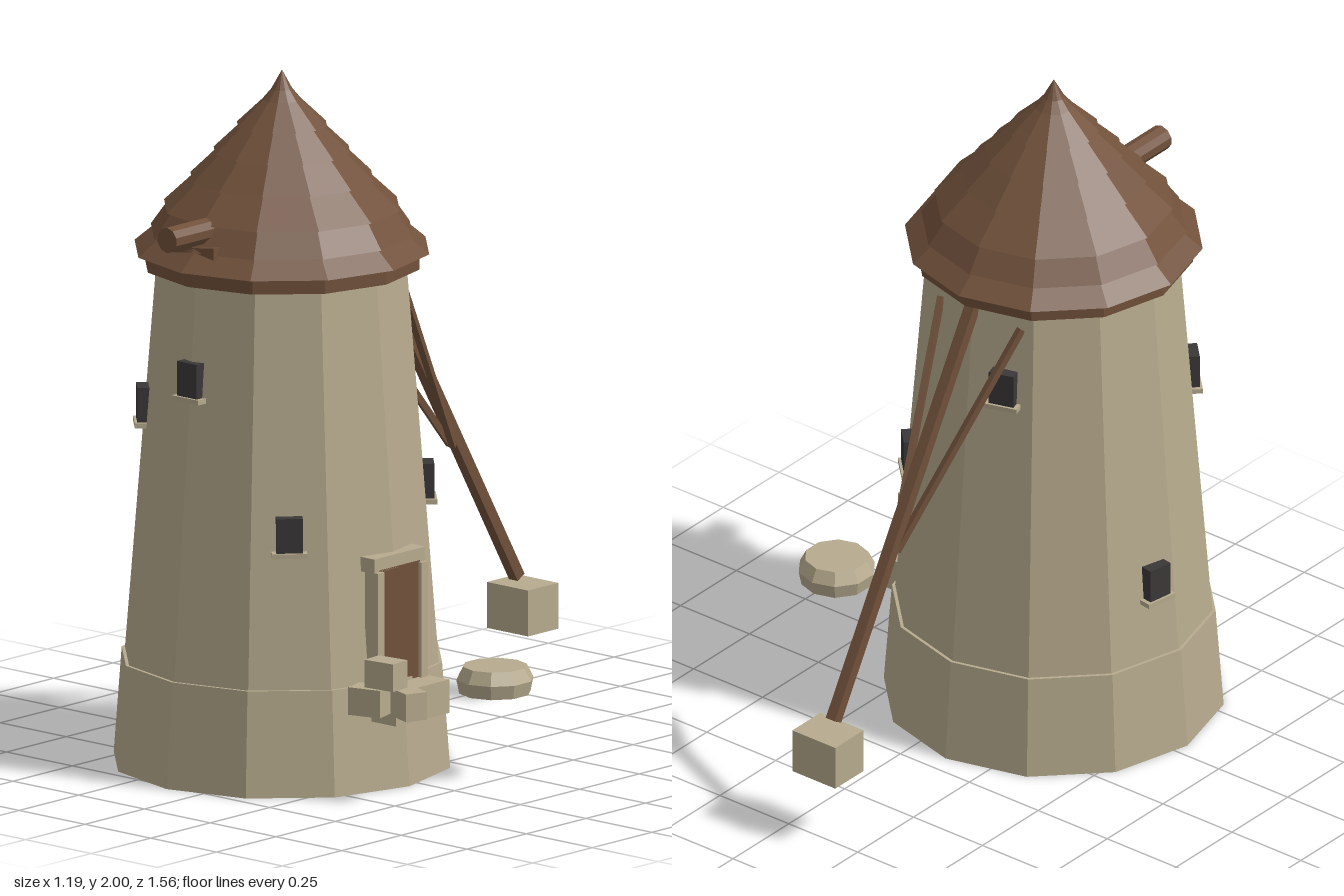
import * as THREE from 'three';

const CX = -0.115, CZ = 0.295; // tower axis

export function createModel() {
  const group = new THREE.Group();
  const mat = (name, color) => {
    const m = new THREE.MeshStandardMaterial({ color });
    m.name = name;
    return m;
  };
  const stone = mat('stone', 0xb7ab8e);
  const wood = mat('wood', 0x71513b);
  const glass = mat('dark window', 0x3b3738);

  const add = (name, geo, material, x = 0, y = 0, z = 0, parent = group) => {
    const m = new THREE.Mesh(geo, material);
    m.name = name;
    m.position.set(x, y, z);
    parent.add(m);
    return m;
  };
  // faceted solid of revolution
  const facetedLathe = (pts, sides) => {
    const g = new THREE.LatheGeometry(pts.map(p => new THREE.Vector2(...p)), sides).toNonIndexed();
    g.computeVertexNormals();
    return g;
  };
  // box given by its limits on each axis
  const block = (name, material, [x0, x1], [y0, y1], [z0, z1]) =>
    add(name, new THREE.BoxGeometry(x1 - x0, y1 - y0, z1 - z0), material,
      (x0 + x1) / 2, (y0 + y1) / 2, (z0 + z1) / 2);
  // square timber between two points
  const timber = (name, a, b, size) => {
    const p = new THREE.Vector3(...a), q = new THREE.Vector3(...b);
    const m = add(name, new THREE.BoxGeometry(size, size, p.distanceTo(q)), wood);
    m.position.copy(p).lerp(q, 0.5);
    m.lookAt(q);
    return m;
  };

  // Tower: flared plinth and tapering twelve-sided wall
  add('plinth', facetedLathe([[0, 0], [0.485, 0], [0.462, 0.305], [0, 0.305]], 12), stone, CX, 0, CZ);
  add('towerWall', facetedLathe([[0.453, 0.3], [0.36, 1.45]], 12), stone, CX, 0, CZ);

  // Roof: fascia, overlapping shingle tiers and a pointed tip
  const tiers = [[0.425, 1.485], [0.378, 1.535], [0.34, 1.607], [0.264, 1.69], [0.197, 1.767], [0.13, 1.843]];
  const profile = [[0, 1.44], [0.397, 1.44], [0.397, 1.485]];
  tiers.forEach(([r, y], i) => {
    profile.push([r, y]);
    if (i < tiers.length - 1) {
      const [nr, ny] = tiers[i + 1];
      profile.push([nr - 0.014, ny + 0.002]);
    }
  });
  profile.push([0.055, 1.915], [0.03, 1.945], [0, 2]);
  add('roof', facetedLathe(profile, 12), wood, CX, 0, CZ);

  // Sail shaft stub and its bearing
  const shaftGeo = new THREE.CylinderGeometry(0.037, 0.037, 0.38, 10).toNonIndexed();
  shaftGeo.computeVertexNormals();
  add('sailShaft', shaftGeo, wood, CX, 1.59, 0.588).rotation.x = Math.PI / 2;
  const saddle = new THREE.Shape([[-0.075, 0], [0, 0.012], [0.075, 0], [0.075, 0.035], [0, 0.025], [-0.075, 0.035]]
    .map(p => new THREE.Vector2(...p)));
  add('shaftBearing', new THREE.ExtrudeGeometry(saddle, { depth: 0.12, bevelEnabled: false }),
    wood, CX, 1.523, 0.545);

  // Windows: [degrees round from the front, centre height]
  const windows = [[0, 1.17], [-45, 1.04], [45, 0.75], [135, 0.81], [-99, 0.55], [-163, 1.2]];
  for (const [deg, y] of windows) {
    const a = THREE.MathUtils.degToRad(deg);
    const r = 0.453 - 0.093 * (y - 0.3) / 1.15 - 0.003;
    const w = new THREE.Group();
    w.name = 'window';
    w.position.set(CX + r * Math.sin(a), y, CZ + r * Math.cos(a));
    w.rotation.y = a;
    add('windowPane', new THREE.BoxGeometry(0.075, 0.1, 0.04), glass, 0, 0, 0, w);
    add('windowSill', new THREE.BoxGeometry(0.1, 0.014, 0.055), stone, 0, -0.057, 0, w);
    group.add(w);
  }

  // Doorway on the left side
  block('door', wood, [0.25, 0.333], [0.295, 0.635], [0.21, 0.38]);
  block('doorJamb', stone, [0.295, 0.345], [0.295, 0.63], [0.19, 0.217]);
  block('doorJamb', stone, [0.295, 0.345], [0.295, 0.63], [0.373, 0.4]);
  block('doorLintel', stone, [0.275, 0.333], [0.628, 0.67], [0.188, 0.402]);
  block('doorStep', stone, [0.322, 0.418], [0.2, 0.297], [0.18, 0.405]);

  // Loose stones: [x, y, z, degrees]
  for (const [x, y, z, deg] of [[0.507, 0.29, 0.452, -20], [0.457, 0.375, 0.49, 6], [0.415, 0.295, 0.513, 15]]) {
    add('looseStone', new THREE.BoxGeometry(0.1, 0.08, 0.068), stone, x, y, z)
      .rotation.y = THREE.MathUtils.degToRad(deg);
  }

  // Millstone beside the door
  add('millstone', facetedLathe([[0, 0.25], [0.103, 0.25], [0.111, 0.29], [0.092, 0.327], [0, 0.327]], 10),
    stone, 0.482, 0, 0.06);

  // Tail pole with two braces and a weight block
  timber('tailPole', [CX, 1.56, 0.01], [CX, 0.355, -0.692], 0.033);
  for (const s of [-1, 1]) {
    timber('tailBrace', [CX + s * 0.145, 1.385, -0.03], [CX + s * 0.006, 0.785, -0.418], 0.019);
  }
  block('tailWeight', stone, [-0.193, -0.037], [0.2, 0.333], [-0.78, -0.653]);

  return group;
}
